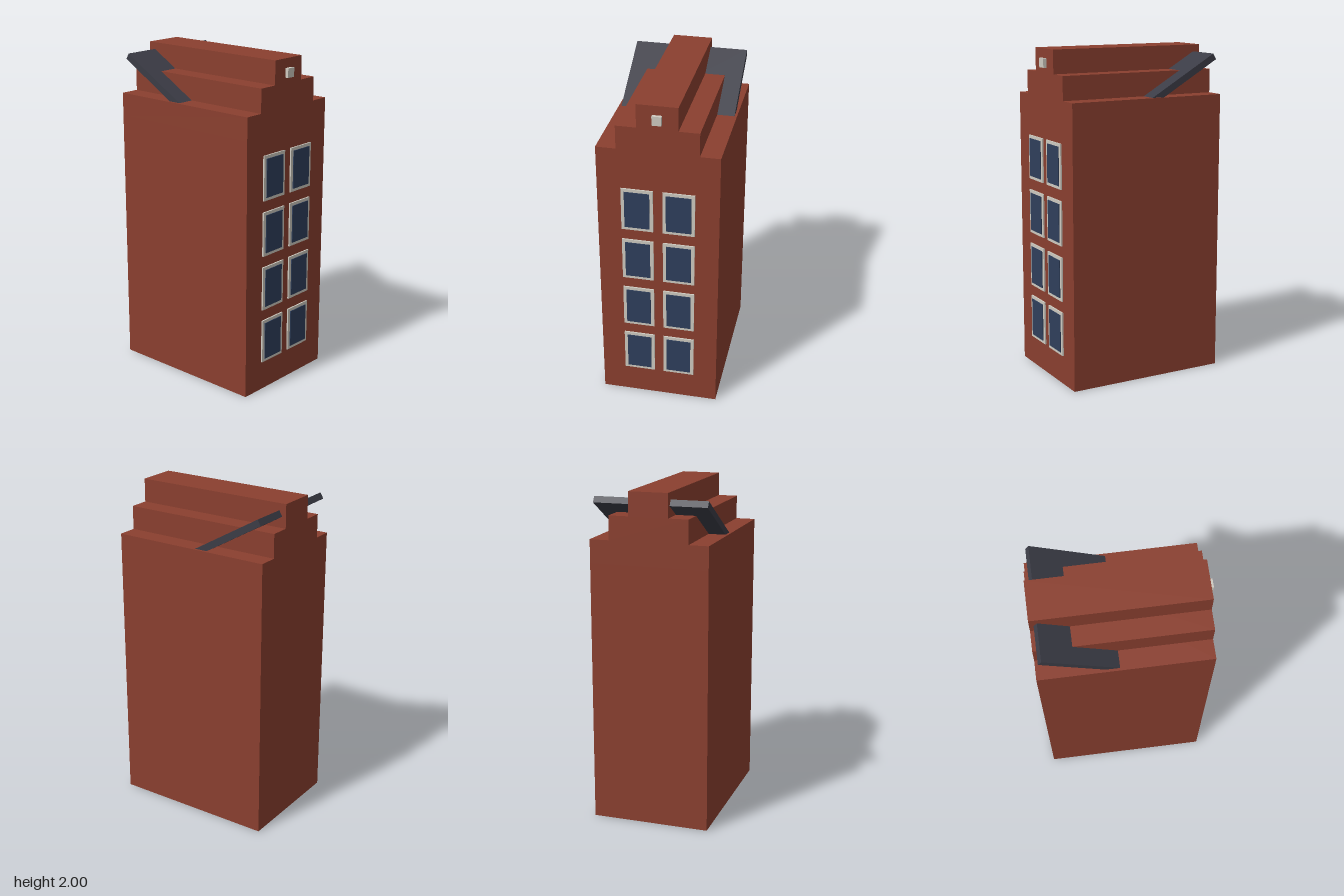
import * as THREE from 'three';

const mat = (name, color) => {
  const m = new THREE.MeshStandardMaterial({ color });
  m.name = name;
  return m;
};

export function createModel() {
  const house = new THREE.Group();
  house.name = 'townHouse';
  const brick = mat('brick red', 0x8a3f2f);
  const stone = mat('pale stone', 0xcfcbc1);
  const glass = mat('dark blue glass', 0x2f3f5c);
  const slate = mat('slate', 0x3b3c46);

  // Box given by its size and centre
  const box = (name, material, size, pos, parent = house) => {
    const mesh = new THREE.Mesh(new THREE.BoxGeometry(...size), material);
    mesh.name = name;
    mesh.position.set(...pos);
    parent.add(mesh);
    return mesh;
  };

  const front = 0.49, depth = 1, midZ = front - depth / 2;

  // Body and stepped gable running the full depth
  box('body', brick, [0.714, 1.575, depth], [0, 0.7875, midZ]);
  const steps = [[0.357, 1.575, 1.715], [0.239, 1.715, 1.858], [0.119, 1.858, 2]];
  steps.forEach(([half, y0, y1], i) =>
    box(`gableStep${i + 1}`, brick, [half * 2, y1 - y0, depth], [0, (y0 + y1) / 2, midZ]));

  // Slate slab tilted up towards the back, its lower end sunk in the roof
  const slab = box('roofSlab', slate, [0.684, 0.04, 0.56], [0, 1.801, -0.233]);
  slab.rotation.x = Math.PI / 6;

  // Stone block on the gable
  box('gableBlock', stone, [0.055, 0.055, 0.03], [0, 1.917, 0.495]);

  // Four rows of paired windows: stone surround with a glass pane
  for (let row = 0; row < 4; row++) {
    for (const side of [-1, 1]) {
      const win = new THREE.Group();
      win.name = `window${row + 1}${side > 0 ? 'Left' : 'Right'}`;
      win.position.set(side * 0.122, 0.315 + row * 0.339, front);
      house.add(win);
      box('surround', stone, [0.188, 0.27, 0.009], [0, 0, 0.0045], win);
      box('pane', glass, [0.148, 0.232, 0.009], [0, 0, 0.0095], win);
    }
  }
  return house;
}
